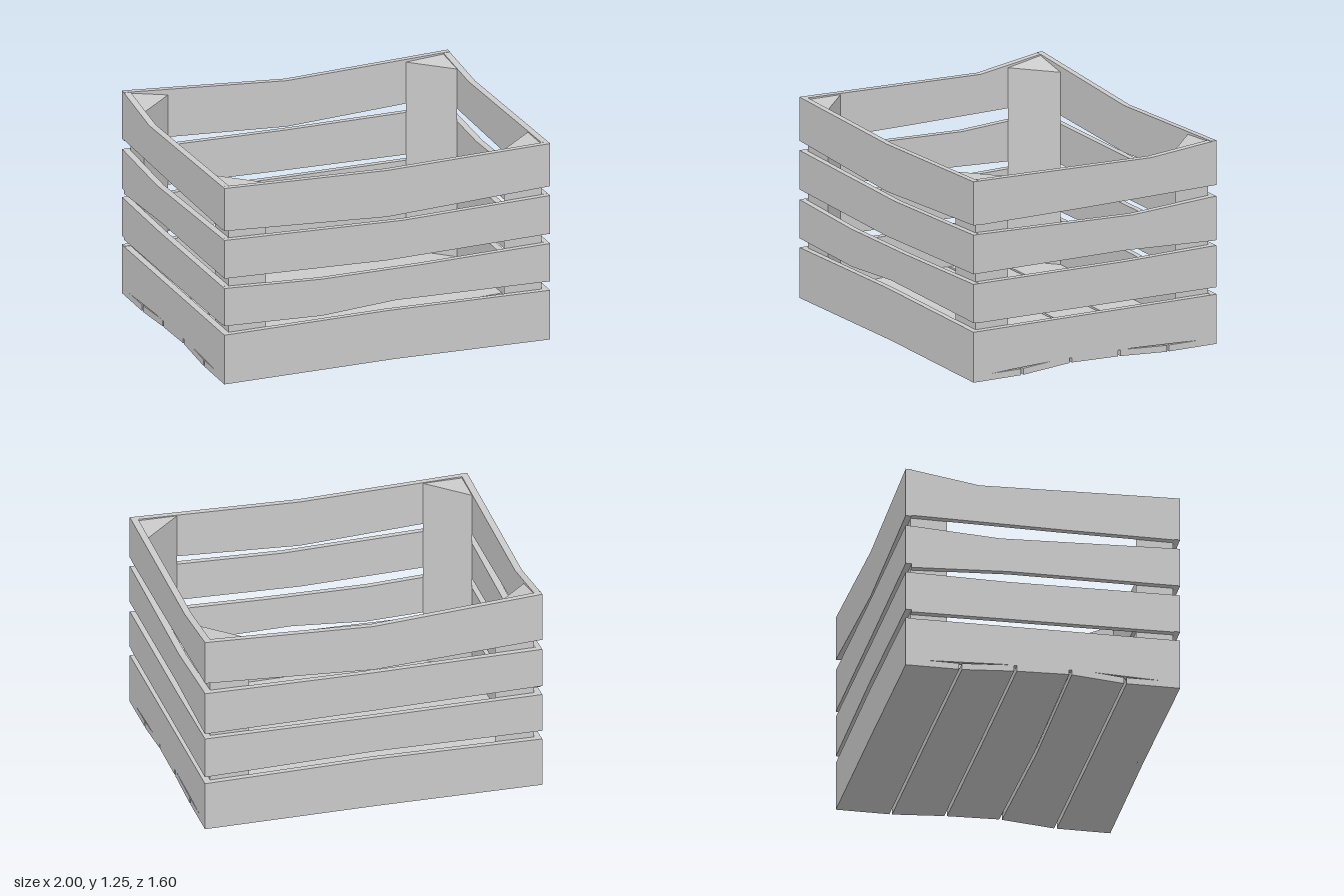
import * as THREE from 'three';

const mat = new THREE.MeshStandardMaterial({ color: 0xcccccc, flatShading: true });
const W = 1, D = 0.8, TX = 0.04, TZ = 0.035;

// A wavy plank: bottom and top edges are [along, y] points, extruded by its thickness
function plank(name, bottom, top, thickness) {
  const pts = [...bottom, ...[...top].reverse()].map(p => new THREE.Vector2(...p));
  const geo = new THREE.ExtrudeGeometry(new THREE.Shape(pts), { depth: thickness, bevelEnabled: false });
  const mesh = new THREE.Mesh(geo, mat);
  mesh.name = name;
  return mesh;
}

// Edge with two ends and one or more inner points
const edge = (half, a, inner, b) => [[-half, a], ...inner, [half, b]];

// Linear interpolation through a list of [position, value] points
function lerpList(list, t) {
  for (let i = 1; i < list.length; i++) {
    const [a, va] = list[i - 1], [b, vb] = list[i];
    if (t <= b) return va + (vb - va) * (t - a) / (b - a);
  }
  return list[list.length - 1][1];
}

export function createModel() {
  const crate = new THREE.Group();
  crate.name = 'crate';

  // Front and back slats, four rows: [bottom edge, top edge] along x
  const front = [
    [edge(W, 0.015, [[0.05, 0.027]], 0.015), edge(W, 0.315, [[0, 0.328]], 0.315)],
    [edge(W, 0.37, [[-0.4, 0.352], [0.05, 0.385]], 0.37), edge(W, 0.6, [[-0.4, 0.575], [0.2, 0.58]], 0.6)],
    [edge(W, 0.66, [[0, 0.635]], 0.66), edge(W, 0.893, [[0.1, 0.866]], 0.893)],
    [edge(W, 0.95, [[0, 0.9]], 0.95), edge(W, 1.21, [[0, 1.183]], 1.21)],
  ];
  const back = [
    [edge(W, 0.015, [[0, 0.02]], 0.015), edge(W, 0.312, [[0, 0.325]], 0.31)],
    [edge(W, 0.365, [[0, 0.375]], 0.352), edge(W, 0.6, [[0, 0.597]], 0.6)],
    [edge(W, 0.655, [[0, 0.64]], 0.632), edge(W, 0.893, [[0, 0.885]], 0.893)],
    [edge(W, 0.955, [[0, 0.905]], 0.96), edge(W, 1.25, [[0, 1.185]], 1.225)],
  ];
  front.forEach(([b, t]) => {
    const m = plank('frontSlat', b, t, TZ);
    m.position.z = D - TZ;
    crate.add(m);
  });
  back.forEach(([b, t]) => {
    const m = plank('backSlat', b, t, TZ);
    m.position.z = -D;
    crate.add(m);
  });

  // Side slats fit between front and back; edges run along z
  const H = D - TZ;
  const sideRows = backTop => [
    [edge(H, 0.05, [[-0.25, 0.07], [0.25, 0.07]], 0.05), edge(H, 0.31, [], 0.315)],
    [edge(H, 0.352, [], 0.366), edge(H, 0.6, [[-0.2, 0.592]], 0.6)],
    [edge(H, 0.632, [[-0.2, 0.658]], 0.66), edge(H, 0.893, [[-0.25, 0.862]], 0.893)],
    [edge(H, 0.96, [[0.1, 0.95]], 0.947), edge(H, backTop, [[-0.37, 1.185]], 1.21)],
  ];
  for (const [name, x, backTop] of [['leftSlat', W - TX, 1.222], ['rightSlat', -W, 1.247]]) {
    for (const [b, t] of sideRows(backTop)) {
      const flip = list => list.map(([z, y]) => [-z, y]).reverse();
      const m = plank(name, flip(b), flip(t), TX);
      m.rotation.y = Math.PI / 2;
      m.position.x = x;
      crate.add(m);
    }
  }

  // Triangular corner posts, tops sloping up to the corner
  for (const sx of [-1, 1]) for (const sz of [-1, 1]) {
    const cornerTop = sz > 0 ? 1.2 : sx < 0 ? 1.24 : 1.215;
    const tri = [[0.96, 0.765], [0.73, 0.765], [0.96, 0.552]].map(([x, z]) => new THREE.Vector2(sx * x, -sz * z));
    const geo = new THREE.ExtrudeGeometry(new THREE.Shape(tri), { depth: 1, bevelEnabled: false });
    geo.rotateX(-Math.PI / 2);
    const p = geo.attributes.position;
    for (let i = 0; i < p.count; i++) {
      const atCorner = Math.abs(p.getX(i)) > 0.95 && Math.abs(p.getZ(i)) > 0.7;
      p.setY(i, p.getY(i) < 0.5 ? 0.05 : atCorner ? cornerTop : 1.198);
    }
    geo.computeVertexNormals();
    const post = new THREE.Mesh(geo, mat);
    post.name = 'cornerPost';
    crate.add(post);
  }

  // Five floor boards, warped along x and z
  const endY = [[-0.8, 0.015], [-0.47, 0.015], [-0.16, 0.034], [0.16, 0.042], [0.47, 0.015], [0.8, 0.015]];
  const midY = [[-0.8, 0.02], [-0.47, 0.02], [-0.16, 0.03], [0.16, 0.002], [0.47, 0.012], [0.8, 0.025]];
  const cuts = [-H, -0.48, -0.16, 0.16, 0.48, H];
  for (let i = 0; i < 5; i++) {
    const z0 = cuts[i] + (i > 0 ? 0.008 : 0), z1 = cuts[i + 1] - (i < 4 ? 0.008 : 0);
    const geo = new THREE.BoxGeometry(2 * W, 0.038, z1 - z0, 4, 1, 2);
    geo.translate(0, 0.019, (z0 + z1) / 2);
    const p = geo.attributes.position;
    for (let k = 0; k < p.count; k++) {
      const z = p.getZ(k), t = Math.abs(p.getX(k)) / W;
      p.setY(k, p.getY(k) + lerpList(midY, z) * (1 - t) + lerpList(endY, z) * t);
    }
    geo.computeVertexNormals();
    const board = new THREE.Mesh(geo, mat);
    board.name = 'floorBoard';
    crate.add(board);
  }
  return crate;
}
